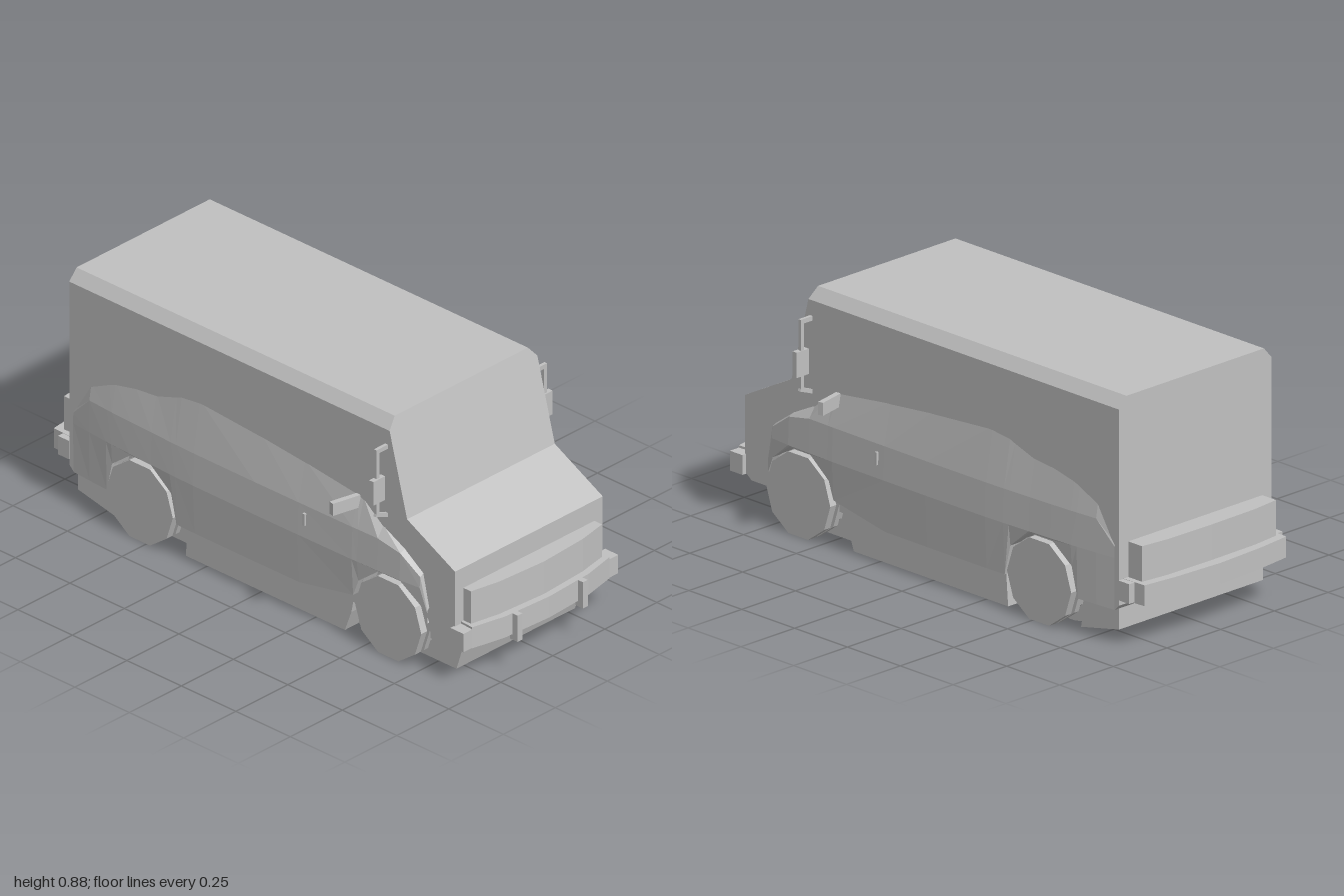
import * as THREE from 'three';

const paint = new THREE.MeshStandardMaterial({ color: 0xc0c0c0 });
paint.name = 'plainGrey';
paint.flatShading = true;
paint.side = THREE.DoubleSide;

const AXLES = [0.61, -0.53], AXLE_Y = 0.145, HALF = 0.355;

export function createModel() {
  const van = new THREE.Group();
  van.name = 'van';

  const add = (name, geometry) => {
    const mesh = new THREE.Mesh(geometry, paint);
    mesh.name = name;
    van.add(mesh);
    return mesh;
  };
  const shapeOf = (pts) => new THREE.Shape(pts.map(([a, b]) => new THREE.Vector2(a, b)));
  const extrude = (pts, depth) =>
    new THREE.ExtrudeGeometry(shapeOf(pts), { depth, bevelEnabled: false });
  // side profile in (z, y), extruded across the width
  const sideProfile = (name, pts, half) =>
    add(name, extrude(pts, half * 2).rotateY(-Math.PI / 2).translate(half, 0, 0));
  // half plan in (x, z), mirrored, extruded upwards
  const planBar = (name, half, y0, y1) => {
    const mirrored = half.filter((p) => p[0] > 0).map(([x, z]) => [-x, z]).reverse();
    return add(name, extrude([...half, ...mirrored], y1 - y0).rotateX(Math.PI / 2).translate(0, y1, 0));
  };
  const box = (name, w, h, d, x, y, z) => add(name, new THREE.BoxGeometry(w, h, d).translate(x, y, z));

  // strips of quads between equal-length cross-sections
  const loft = (rows, flip) => {
    const n = rows[0].length, index = [];
    for (let i = 0; i < rows.length - 1; i++) {
      for (let j = 0; j < n - 1; j++) {
        const a = i * n + j, b = a + 1, c = a + n, d = c + 1;
        index.push(...(flip ? [a, b, c, b, d, c] : [a, c, b, b, c, d]));
      }
    }
    const g = new THREE.BufferGeometry();
    g.setAttribute('position', new THREE.Float32BufferAttribute(rows.flat(2), 3));
    g.setIndex(index);
    g.computeVertexNormals();
    return g;
  };

  // main body with ten-sided wheel openings
  const arch = (zc) => {
    const pts = [[zc - 0.168, 0.125]];
    for (let i = 5; i >= 0; i--) {
      const a = (i * Math.PI) / 5;
      pts.push([zc + 0.168 * Math.cos(a), AXLE_Y + 0.168 * Math.sin(a)]);
    }
    pts.push([zc + 0.168, 0.125]);
    return pts;
  };
  sideProfile('bodyShell', [
    [-0.88, 0.84], [-0.88, 0.145], [-0.86, 0.125],
    ...arch(AXLES[1]), ...arch(AXLES[0]),
    [0.86, 0.125], [0.89, 0.15], [0.89, 0.42], [0.67, 0.535], [0.59, 0.84],
  ], HALF);

  // roof with chamfered long edges
  const roofRow = (z0, z1) =>
    [[-HALF, 0.84, z0], [-0.32, 0.88, z1], [0.32, 0.88, z1], [HALF, 0.84, z0]];
  add('roof', loft([
    [[-HALF, 0.84, -0.88], [-0.32, 0.84, -0.88], [0.32, 0.84, -0.88], [HALF, 0.84, -0.88]],
    roofRow(-0.88, -0.88), roofRow(0.59, 0.58),
    [[-HALF, 0.84, 0.59], [-0.32, 0.84, 0.59], [0.32, 0.84, 0.59], [HALF, 0.84, 0.59]],
  ], true));

  // floor, sills and rear valance
  sideProfile('floorPan', [[0.86, 0.14], [0.82, 0], [-0.6, 0], [-0.86, 0.05], [-0.86, 0.3], [0.8, 0.3]], 0.285);
  sideProfile('sill', [[0.42, 0.13], [0.41, 0.08], [0.38, 0], [-0.35, 0], [-0.34, 0.13]], 0.35);
  sideProfile('rearValance', [[-0.7, 0.13], [-0.68, 0.012], [-0.86, 0.05], [-0.86, 0.15]], 0.335);
  sideProfile('frontValance', [[0.875, 0.14], [0.83, 0], [0.79, 0], [0.8, 0.14]], 0.285);

  // bulging flank: [z, top height, bulge depth]
  const flank = [
    [0.772, 0.24, 0.010], [0.745, 0.36, 0.018], [0.66, 0.42, 0.026], [0.56, 0.47, 0.030],
    [0.47, 0.54, 0.032], [0.446, 0.55, 0.033], [0.2, 0.58, 0.035], [0, 0.6, 0.036],
    [-0.28, 0.62, 0.035], [-0.364, 0.61, 0.033], [-0.39, 0.6, 0.032], [-0.48, 0.57, 0.028],
    [-0.58, 0.56, 0.024], [-0.67, 0.54, 0.019], [-0.696, 0.53, 0.017], [-0.78, 0.49, 0.010],
    [-0.86, 0.36, 0.002],
  ];
  const openingTop = (z) => {
    for (const zc of AXLES) {
      const d = Math.abs(z - zc);
      if (d < 0.165) return AXLE_Y + Math.min(0.16, Math.sqrt(0.166 ** 2 - d * d));
    }
    return 0.125;
  };

  for (const s of [1, -1]) {
    const side = s > 0 ? 'left' : 'right';
    const named = (part) => side + part;

    add(named('Flank'), loft(flank.map(([z, top, w]) => {
      const low = openingTop(z);
      const belt = Math.max(low, Math.min(0.31, top - 0.02));
      const mid = Math.max(belt, Math.min(0.43, top - 0.01));
      return [[HALF - 0.002, top], [HALF + w * 0.85, mid], [HALF + w, belt], [HALF + w * 0.75, low], [HALF - 0.02, low]]
        .map(([x, y]) => [s * x, y, z]);
    }), s < 0));

    // ribbed wheels with flat tread sides
    for (const z of AXLES) {
      for (const [r, x0, x1] of [[0.152, 0.355, 0.383], [0.132, 0.34, 0.355], [0.152, 0.32, 0.34], [0.132, 0.285, 0.32]]) {
        add(named(z > 0 ? 'FrontWheel' : 'RearWheel'),
          new THREE.CylinderGeometry(r, r, x1 - x0, 10).rotateZ(Math.PI / 2)
            .translate((s * (x0 + x1)) / 2, AXLE_Y, z));
      }
    }

    // tall mirror on its bracket
    box(named('MirrorTopArm'), 0.06, 0.016, 0.012, s * 0.38, 0.777, 0.576);
    box(named('MirrorPost'), 0.014, 0.25, 0.012, s * 0.402, 0.66, 0.576);
    const arm = box(named('MirrorLowerArm'), 0.064, 0.014, 0.012, 0, 0, 0);
    arm.position.set(s * 0.38, 0.527, 0.576);
    arm.rotation.z = s * 0.36;
    box(named('Mirror'), 0.056, 0.09, 0.02, s * 0.403, 0.63, 0.578);

    // swept door mirror and handle
    const blade = box(named('DoorMirror'), 0.11, 0.046, 0.02, 0, 0, 0);
    blade.position.set(s * 0.408, 0.523, 0.436);
    blade.rotation.y = s * 0.22;
    box(named('DoorHandle'), 0.014, 0.045, 0.01, s * 0.388, 0.38, 0.232);

    // bumper details
    box(named('Overrider'), 0.023, 0.1, 0.035, s * 0.157, 0.17, 0.982);
    box(named('FrontBumperEnd'), 0.05, 0.07, 0.06, s * 0.347, 0.177, 0.915);
    box(named('RearBumperEnd'), 0.03, 0.07, 0.05, s * 0.342, 0.2, -0.905);
  }

  // curved front nose panel and bumper
  planBar('nosePanel', [[0.315, 0.88], [0.315, 0.925], [0.2, 0.947], [0, 0.96]], 0.22, 0.343);
  planBar('frontBumper', [[0.325, 0.88], [0.33, 0.945], [0.2, 0.973], [0, 0.985]], 0.14, 0.22);

  // curved rear panel and bumper
  planBar('rearPanel', [[0, -0.96], [0.2, -0.957], [0.312, -0.945], [0.312, -0.87]], 0.235, 0.362);
  planBar('rearBumper', [[0, -1], [0.2, -0.99], [0.33, -0.975], [0.335, -0.87]], 0.162, 0.236);

  return van;
}
